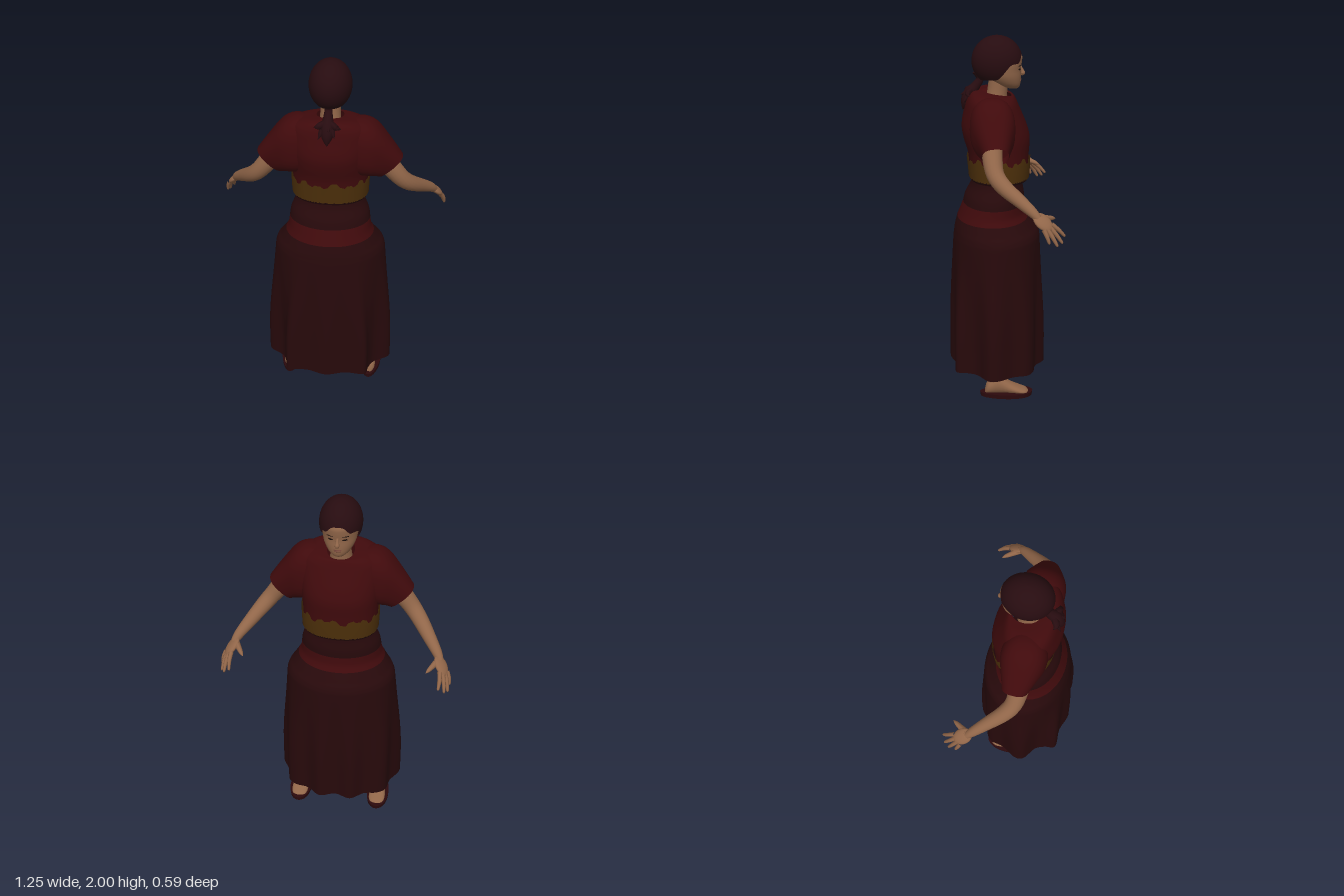
import * as THREE from 'three';

const mat = (name, color, side = THREE.FrontSide) => {
  const m = new THREE.MeshStandardMaterial({ color, side });
  m.name = name;
  return m;
};
const V = (x, y, z) => new THREE.Vector3(x, y, z);
const { smoothstep } = THREE.MathUtils;

// Skin a list of closed rings; (advance x ring direction) points outward
function loft(rings) {
  const n = rings[0].length, pos = [], idx = [];
  rings.forEach(r => r.forEach(p => pos.push(p.x, p.y, p.z)));
  for (let r = 0; r < rings.length - 1; r++) {
    for (let i = 0; i < n; i++) {
      const j = (i + 1) % n, a = r * n + i, b = a + n, c = r * n + j, d = c + n;
      idx.push(a, b, c, c, b, d);
    }
  }
  const g = new THREE.BufferGeometry();
  g.setAttribute('position', new THREE.Float32BufferAttribute(pos, 3));
  g.setIndex(idx);
  g.computeVertexNormals();
  return g;
}

const around = (n, f) => Array.from({ length: n }, (_, i) => f(i / n * Math.PI * 2));

// Horizontal body ring: half width, front z, back z; angle 0 is the front (-z)
function ring([y, rx, zf, zb], { n = 48, power = 2, lift = () => 0 } = {}) {
  const sq = v => Math.sign(v) * Math.abs(v) ** (2 / power);
  return around(n, a => V(rx * sq(Math.sin(a)), y + lift(a), (zf + zb) / 2 - (zb - zf) / 2 * sq(Math.cos(a))));
}

// Smooth resampling of profile rows
function smoothRows(rows, steps) {
  const out = [];
  for (let r = 0; r < rows.length - 1; r++) {
    for (let s = 0; s < steps; s++) {
      const t = s / steps;
      out.push(rows[r].map((v, k) => {
        const p0 = (rows[r - 1] || rows[r])[k], p2 = rows[r + 1][k], p3 = (rows[r + 2] || rows[r + 1])[k];
        return v + 0.5 * t * (p2 - p0 + t * (2 * p0 - 5 * v + 4 * p2 - p3 + t * (3 * (v - p2) + p3 - p0)));
      }));
    }
  }
  out.push(rows[rows.length - 1]);
  return out;
}

// Round limb through [x, y, z, radius] points
function limb(points, n = 12, steps = 4) {
  const rows = smoothRows(points, steps), X = V(1, 0, 0);
  const P = rows.map(r => V(r[0], r[1], r[2]));
  return loft(rows.map((row, i) => {
    const T = P[Math.min(i + 1, P.length - 1)].clone().sub(P[Math.max(i - 1, 0)]).normalize();
    const N = X.clone().cross(T).normalize(), B = T.clone().cross(N);
    const r = Math.max(row[3], 0.0005);
    return around(n, a => P[i].clone().addScaledVector(N, r * Math.cos(a)).addScaledVector(B, -r * Math.sin(a)));
  }));
}

// Half outline of the folded hem, front to back, as [x, z]
const HEM = [[0, -0.212], [0.09, -0.24], [0.165, -0.185], [0.24, -0.168], [0.288, -0.13], [0.305, -0.05], [0.35, 0.03],
  [0.345, 0.09], [0.268, 0.145], [0.24, 0.2], [0.22, 0.264], [0.11, 0.262], [0, 0.293]];

export function createModel() {
  const model = new THREE.Group();
  model.name = 'womanInLongSkirt';
  const DS = THREE.DoubleSide;
  const skin = mat('skin', 0x916649), hair = mat('hair', 0x270c10, DS);
  const red = mat('red cloth', 0x400a0c, DS), dark = mat('dark skirt cloth', 0x27090b, DS);
  const gold = mat('gold sash', 0x4c2f0a, DS), shoe = mat('shoe', 0x2c0a0d);
  const lip = mat('lips', 0x74463a), ink = mat('eyes and brows', 0x1c100c);

  const add = (name, geo, m, parent = model) => {
    const mesh = new THREE.Mesh(geo, m);
    mesh.name = name;
    parent.add(mesh);
    return mesh;
  };
  const blob = (name, m, p, s, parent = model) => {
    const b = add(name, new THREE.SphereGeometry(1, 16, 10), m, parent);
    b.position.set(...p);
    b.scale.set(...s);
    return b;
  };

  // Skirt: smooth at the hips, blending into the folded hem outline
  const outline = [...HEM, ...HEM.slice(1, -1).reverse().map(([x, z]) => [-x, z])];
  const hem = new THREE.CatmullRomCurve3(outline.map(([x, z]) => V(x, 0, z)), true, 'catmullrom', 0.5);
  const skirtPart = (name, rows, m) => add(name, loft(smoothRows(rows, 6).map(r => {
    const t = smoothstep(1 - r[0], 0.05, 0.75);
    return ring(r, { n: 120 }).map((p, i) => {
      const h = hem.getPoint(i / 120);
      return p.lerp(h.setY(r[0]), t);
    });
  })), m);
  skirtPart('skirt', [[0.14, 0.345, -0.235, 0.29], [0.5, 0.318, -0.222, 0.278], [0.84, 0.307, -0.216, 0.268],
    [0.915, 0.298, -0.208, 0.262], [0.955, 0.272, -0.182, 0.256], [1.0, 0.243, -0.148, 0.244]], dark);
  skirtPart('hipBand', [[1.0, 0.243, -0.148, 0.244], [1.035, 0.228, -0.13, 0.23], [1.085, 0.221, -0.125, 0.21]], red);
  skirtPart('skirtWaist', [[1.085, 0.221, -0.125, 0.21], [1.13, 0.213, -0.126, 0.198], [1.19, 0.189, -0.118, 0.168],
    [1.25, 0.18, -0.12, 0.16]], dark);

  // Blouse body with a neckline lower at the front
  const blouse = [[1.225, 0.198, -0.143, 0.168], [1.36, 0.204, -0.15, 0.18], [1.45, 0.214, -0.155, 0.205],
    [1.52, 0.222, -0.138, 0.214], [1.6, 0.226, -0.105, 0.2], [1.66, 0.21, -0.083, 0.183],
    [1.69, 0.145, -0.068, 0.155], [1.692, 0.072, -0.056, 0.1]];
  add('blouse', loft(smoothRows(blouse, 4).map(r => ring(r, {
    power: 2.3, lift: a => -Math.max(0, (r[0] - 1.6) / 0.1) * 0.016 * Math.cos(a),
  }))), red);

  // Sash with a ragged upper edge
  const ragged = a => 0.01 * Math.sin(9 * a) + 0.009 * Math.sign(Math.sin(17 * a + 1));
  add('sash', loft([[1.235, 0.208, -0.154, 0.178, 0], [1.29, 0.211, -0.158, 0.183, 0], [1.345, 0.212, -0.159, 0.188, 1]]
    .map(r => ring(r, { n: 96, power: 2.3, lift: a => r[4] * ragged(a) }))), gold);
  add('sashHem', loft([[1.222, 0.2, -0.146, 0.171], [1.238, 0.209, -0.155, 0.179]]
    .map(r => ring(r, { power: 2.3 }))), dark);

  // Neck and head
  add('neck', limb([[0, 1.63, 0.03, 0.062], [0, 1.7, 0.02, 0.054], [0, 1.79, 0.01, 0.054]], 20), skin);
  add('head', loft(smoothRows([[1.712, 0.006, -0.078, -0.06], [1.718, 0.03, -0.094, -0.03], [1.74, 0.06, -0.104, 0.03],
    [1.78, 0.083, -0.107, 0.075], [1.82, 0.092, -0.106, 0.1], [1.86, 0.096, -0.112, 0.12],
    [1.9, 0.09, -0.108, 0.12], [1.96, 0.05, -0.05, 0.08]], 3).map(r => ring(r, { n: 32 }))), skin);
  add('nose', limb([[0, 1.835, -0.102, 0.007], [0, 1.812, -0.112, 0.009], [0, 1.795, -0.117, 0.0125],
    [0, 1.785, -0.108, 0.004]], 10), skin);
  blob('upperLip', lip, [0, 1.763, -0.104], [0.022, 0.004, 0.005]);
  blob('lowerLip', lip, [0, 1.755, -0.103], [0.018, 0.0045, 0.005]);
  for (const s of [1, -1]) {
    const eye = blob('eye', ink, [s * 0.037, 1.823, -0.0965], [0.015, 0.005, 0.004]);
    const brow = blob('brow', ink, [s * 0.04, 1.843, -0.0985], [0.02, 0.0025, 0.003]);
    eye.rotation.y = brow.rotation.y = s * -0.4;
  }

  // Hair cap: parted over the forehead, covering the ears, low at the nape
  const capRings = [];
  for (let v = 0; v <= 16; v++) {
    capRings.push(around(64, a => {
      const c = Math.cos(a);
      const low = 2.3 - 0.68 * smoothstep(c, -0.05, 0.6) - 0.3 * smoothstep(c, 0.82, 1) + 0.1 * Math.max(0, -c);
      const t = Math.max(0.002, low * (1 - v / 16));
      return V(0.113 * Math.sin(t) * Math.sin(a), 1.865 + 0.135 * Math.cos(t), 0.022 - 0.136 * Math.sin(t) * c);
    }));
  }
  add('hairCap', loft(capRings), hair);

  // Ponytail with loose tufts
  add('ponytail', limb([[0, 1.81, 0.125, 0.03], [0, 1.77, 0.112, 0.021], [0, 1.73, 0.135, 0.025],
    [0, 1.69, 0.168, 0.034], [0, 1.64, 0.19, 0.028], [0, 1.6, 0.208, 0.001]]), hair);
  for (const [x, y, z] of [[-0.07, 1.69, 0.172], [0.07, 1.685, 0.172], [-0.045, 1.635, 0.205], [0.04, 1.645, 0.205], [0.01, 1.685, 0.218]]) {
    add('ponytailTuft', limb([[0, 1.715, 0.15, 0.016], [x * 0.6, (y + 1.71) / 2, 0.18, 0.018], [x, y, z, 0.001]], 6), hair);
  }

  for (const s of [1, -1]) {
    const side = s > 0 ? 'left' : 'right';

    // Short sleeve: rows of top x, y, bottom x, y, centre z, half depth
    add(side + 'Sleeve', loft(smoothRows([[0.08, 1.675, 0.1, 1.4, 0.055, 0.09], [0.165, 1.697, 0.16, 1.375, 0.055, 0.118],
      [0.245, 1.668, 0.21, 1.37, 0.053, 0.115], [0.325, 1.57, 0.24, 1.367, 0.05, 0.092],
      [0.388, 1.48, 0.262, 1.36, 0.045, 0.07]], 4).map(([tx, ty, bx, by, z, rz]) => around(32, a => {
      const c = Math.sign(Math.cos(a)) * Math.abs(Math.cos(a)) ** 0.8, d = Math.sign(Math.sin(a)) * Math.abs(Math.sin(a)) ** 0.8;
      return V(s * ((tx + bx) / 2 + (tx - bx) / 2 * c), (ty + by) / 2 + (ty - by) / 2 * c, z - s * rz * d);
    }))), red);

    // Arm
    const arm = new THREE.Group();
    arm.name = side + 'Arm';
    model.add(arm);
    const tube = (name, pts, n) => add(name, limb(pts.map(([x, ...r]) => [s * x, ...r]), n), skin, arm);
    tube('arm', [[0.26, 1.5, 0.06, 0.056], [0.325, 1.42, 0.062, 0.053], [0.385, 1.345, 0.05, 0.047],
      [0.435, 1.292, 0.008, 0.043], [0.495, 1.235, -0.07, 0.035], [0.54, 1.19, -0.13, 0.027], [0.56, 1.16, -0.16, 0.02]], 18);

    // Hand: flattened palm with spread fingers
    const L = V(s * 0.05, -0.07, -0.08).normalize(), S = V(s * -0.055, 0.02, -0.085);
    S.addScaledVector(L, -S.dot(L)).normalize();
    const palm = blob('palm', skin, [s * 0.568, 1.146, -0.182], [0.043, 0.06, 0.018], arm);
    palm.quaternion.setFromRotationMatrix(new THREE.Matrix4().makeBasis(S, L, S.clone().cross(L)));
    [[0.565, 1.07, -0.293], [0.596, 1.045, -0.278], [0.614, 1.035, -0.252], [0.62, 1.05, -0.212]].forEach((tip, i) => {
      const k = (1.5 - i) * 0.019;
      const b = V(s * 0.583, 1.125, -0.205).addScaledVector(S, k);
      const m = b.clone().lerp(V(s * tip[0], tip[1], tip[2]), 0.55);
      tube('finger', [[s * b.x, b.y, b.z, 0.013], [s * m.x + 0.003, m.y + 0.004, m.z, 0.011], [...tip, 0.007],
        [tip[0], tip[1] - 0.003, tip[2] - 0.003, 0.0005]], 8);
    });
    tube('thumb', [[0.55, 1.165, -0.165, 0.02], [0.528, 1.155, -0.2, 0.016], [0.506, 1.146, -0.235, 0.011],
      [0.493, 1.14, -0.254, 0.001]], 8);

    // Leg, foot and flat shoe
    add(side + 'Leg', limb([[s * 0.15, 0.9, 0.03, 0.085], [s * 0.2, 0.5, 0.04, 0.058], [s * 0.226, 0.3, 0.055, 0.052],
      [s * 0.23, 0.14, 0.052, 0.037], [s * 0.232, 0.06, 0.055, 0.034]], 16), skin);
    add(side + 'Foot', loft(smoothRows([[0.104, 0.001, 0.014], [0.1, 0.02, 0.055], [0.08, 0.036, 0.095], [0.03, 0.037, 0.125],
      [-0.03, 0.043, 0.085], [-0.09, 0.048, 0.052], [-0.128, 0.036, 0.036], [-0.146, 0.001, 0.016]], 3)
      .map(([z, w, h]) => around(18, a => V(s * 0.234 + w * Math.cos(a), 0.012 + (h - 0.012) * (0.5 + 0.5 * Math.sin(a)), z)))), skin);
    const sole = new THREE.CylinderGeometry(1, 0.97, 0.024, 40);
    const p = sole.attributes.position;
    for (let i = 0; i < p.count; i++) {
      const z = p.getZ(i);
      p.setXYZ(i, p.getX(i) * (0.063 - 0.012 * z), p.getY(i), z * 0.148);
    }
    sole.computeVertexNormals();
    add(side + 'Shoe', sole, shoe).position.set(s * 0.235, 0.012, -0.017);
  }
  return model;
}
